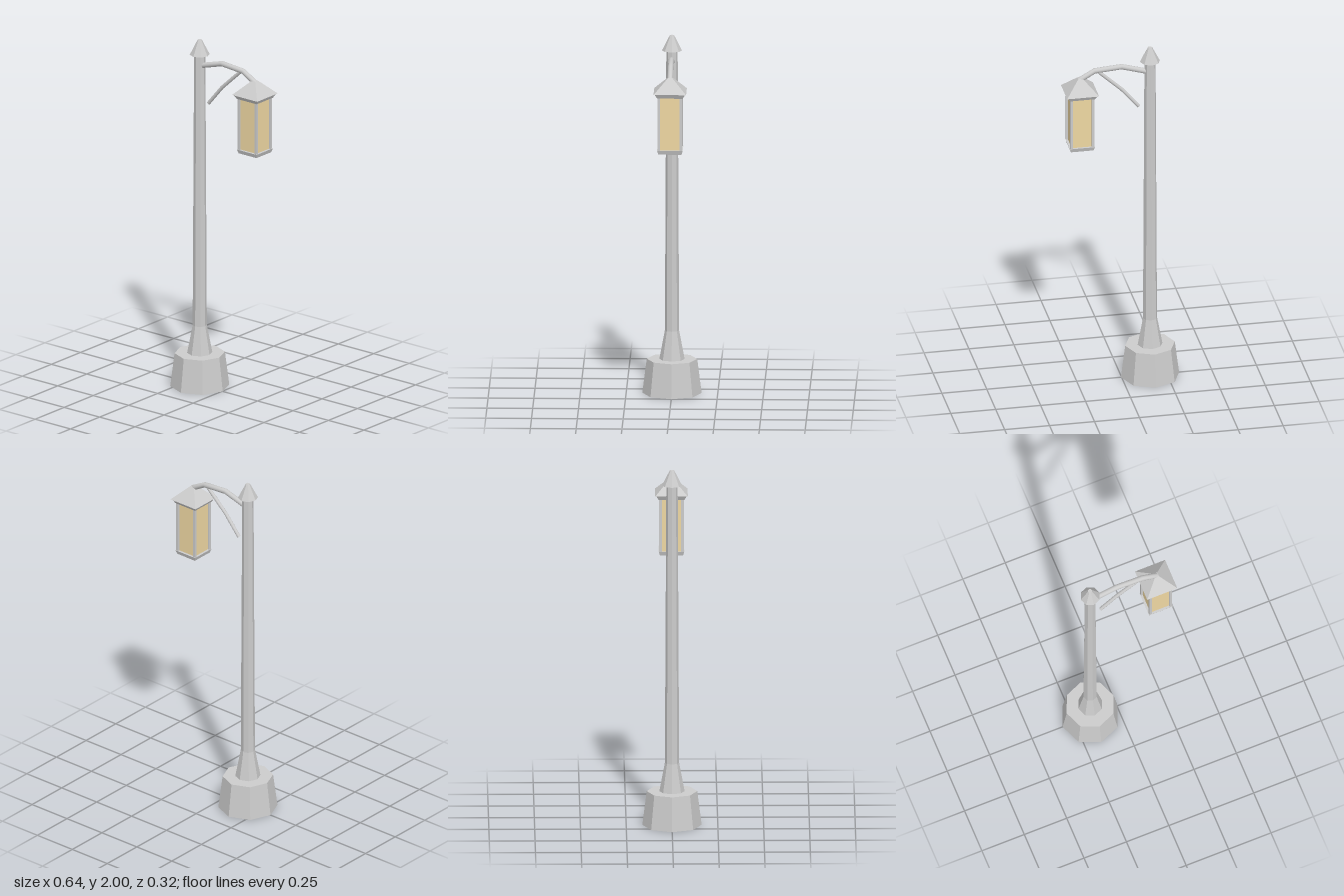
import * as THREE from 'three';

const POLE_X = -0.158, LAMP_X = 0.231;

const grey = new THREE.MeshStandardMaterial({ color: 0xcccccc, flatShading: true, side: THREE.DoubleSide });
const smoothGrey = new THREE.MeshStandardMaterial({ color: 0xcccccc });
const glass = new THREE.MeshStandardMaterial({ color: 0xeed7a2 });

function add(parent, name, geometry, material = grey) {
  const mesh = new THREE.Mesh(geometry, material);
  mesh.name = name;
  parent.add(mesh);
  return mesh;
}

// Eight-sided turned section from [radius, height] pairs
function octagon(parent, name, profile) {
  const points = profile.map(([r, y]) => new THREE.Vector2(r, y));
  return add(parent, name, new THREE.LatheGeometry(points, 8));
}

// Square tapered block given by half-widths and heights
function squareTaper(parent, name, bottom, top, y0, y1) {
  const geometry = new THREE.CylinderGeometry(top * Math.SQRT2, bottom * Math.SQRT2, y1 - y0, 4);
  geometry.rotateY(Math.PI / 4).translate(0, (y0 + y1) / 2, 0);
  return add(parent, name, geometry);
}

// Round rod with mitred bends through the given [x, y] points
function rod(parent, name, points, radius) {
  const n = points.length - 1;
  const curve = new THREE.Curve();
  curve.getPoint = (t) => {
    const i = Math.min(Math.floor(t * n), n - 1), f = t * n - i;
    const [a, b] = [points[i], points[i + 1]];
    return new THREE.Vector3(a[0] + (b[0] - a[0]) * f, a[1] + (b[1] - a[1]) * f, 0);
  };
  curve.getUtoTmapping = (u) => u;
  add(parent, name, new THREE.TubeGeometry(curve, n, radius, 12), smoothGrey);
  // Flat discs closing both ends
  for (const t of [0, 1]) {
    const disc = add(parent, name + 'End', new THREE.CircleGeometry(radius, 12));
    const direction = curve.getTangent(t).multiplyScalar(t ? 1 : -1);
    disc.position.copy(curve.getPoint(t));
    disc.quaternion.setFromUnitVectors(new THREE.Vector3(0, 0, 1), direction);
  }
}

export function createModel() {
  const model = new THREE.Group();
  model.name = 'streetLamp';

  // Post: hollow base, flared shaft and pointed cap
  const post = new THREE.Group();
  post.name = 'post';
  post.position.x = POLE_X;
  model.add(post);
  octagon(post, 'base', [[0.162, 0], [0.138, 0.19], [0.05, 0.19]]);
  octagon(post, 'shaft', [[0.069, 0.19], [0.039, 0.35], [0.031, 1.93]]);
  octagon(post, 'cap', [[0.055, 1.915], [0.012, 2], [0, 2]]);

  // Bent arm and the brace under it
  rod(model, 'arm', [[-0.15, 1.853], [0, 1.897], [0.15, 1.886], [0.236, 1.837]], 0.015);
  rod(model, 'brace', [[-0.095, 1.648], [0, 1.76], [0.13, 1.88]], 0.01);

  // Lantern
  const lantern = new THREE.Group();
  lantern.name = 'lantern';
  lantern.position.x = LAMP_X;
  model.add(lantern);
  squareTaper(lantern, 'roof', 0.089, 0.012, 1.772, 1.85);
  squareTaper(lantern, 'roofLip', 0.07, 0.083, 1.748, 1.772);
  squareTaper(lantern, 'floor', 0.063, 0.07, 1.433, 1.455);
  add(lantern, 'glass', new THREE.BoxGeometry(0.114, 0.296, 0.114), glass).position.y = 1.602;
  for (const x of [-1, 1]) {
    for (const z of [-1, 1]) {
      const bar = add(lantern, 'cornerBar', new THREE.BoxGeometry(0.014, 0.3, 0.014));
      bar.position.set(x * 0.06, 1.602, z * 0.06);
    }
  }
  return model;
}
